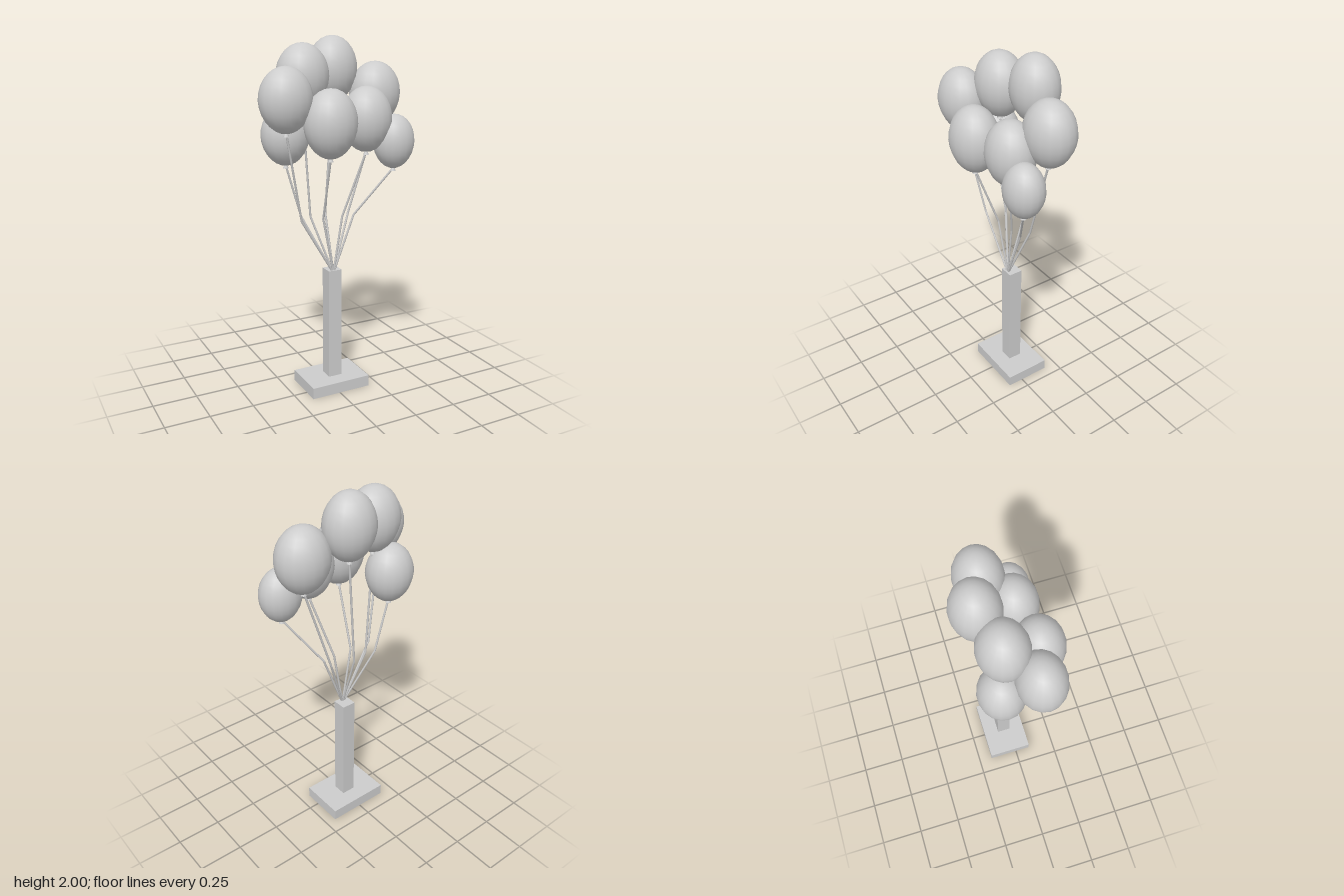
import * as THREE from 'three';

// centre x, y, z, then radii x, y, z, then x and z of the bend in the string
const BALLOONS = [
  [-0.30, 1.685, 0.064, 0.143, 0.17, 0.123, -0.19, 0.0],
  [-0.145, 1.79, -0.07, 0.145, 0.175, 0.129, -0.10, -0.08],
  [0.064, 1.822, -0.136, 0.141, 0.178, 0.127, 0.01, -0.115],
  [0.29, 1.688, -0.062, 0.147, 0.175, 0.129, 0.135, -0.075],
  [0.162, 1.567, 0.075, 0.142, 0.176, 0.128, 0.06, -0.005],
  [-0.08, 1.56, 0.13, 0.145, 0.182, 0.129, -0.06, 0.0],
  [0.317, 1.442, 0.104, 0.118, 0.148, 0.104, 0.135, -0.01],
  [-0.232, 1.482, -0.106, 0.134, 0.162, 0.122, -0.145, -0.105],
];

export function createModel() {
  const model = new THREE.Group();
  const grey = new THREE.MeshStandardMaterial({ color: 0xcccccc });
  grey.name = 'light grey';

  const add = (name, geometry, parent = model) => {
    const mesh = new THREE.Mesh(geometry, grey);
    mesh.name = name;
    parent.add(mesh);
    return mesh;
  };

  // Thin rod between two points
  const rod = (name, a, b, parent) => {
    const dir = b.clone().sub(a);
    const mesh = add(name, new THREE.CylinderGeometry(0.006, 0.006, dir.length(), 6), parent);
    mesh.position.copy(a).add(b).multiplyScalar(0.5);
    mesh.quaternion.setFromUnitVectors(new THREE.Vector3(0, 1, 0), dir.normalize());
  };

  // Stand: flat plinth and square post
  add('basePlate', new THREE.BoxGeometry(0.36, 0.065, 0.26)).position.set(0.01, 0.0325, -0.04);
  add('post', new THREE.BoxGeometry(0.08, 0.65, 0.08)).position.set(0.015, 0.39, -0.04);

  // Unit balloon, drawn in slightly towards the knot
  const skin = new THREE.SphereGeometry(1, 18, 14);
  const p = skin.attributes.position;
  for (let i = 0; i < p.count; i++) {
    const y = p.getY(i);
    const s = y < 0 ? 1 + 0.05 * y : 1;
    p.setXYZ(i, p.getX(i) * s, y, p.getZ(i) * s);
  }
  const knotShape = new THREE.CylinderGeometry(0.006, 0.016, 0.022, 8);

  BALLOONS.forEach(([x, y, z, rx, ry, rz, bx, bz]) => {
    const balloon = new THREE.Group();
    balloon.name = 'balloon';
    model.add(balloon);

    const body = add('balloonSkin', skin, balloon);
    body.position.set(x, y, z);
    body.scale.set(rx, ry, rz);
    add('knot', knotShape, balloon).position.set(x, y - ry - 0.004, z);

    // String bends once on its way up from the post
    const foot = new THREE.Vector3(0.01 + bx * 0.04, 0.71, -0.015 + bz * 0.04);
    const bend = new THREE.Vector3(bx, 1.025, bz);
    rod('lowerString', foot, bend, balloon);
    rod('upperString', bend, new THREE.Vector3(x, y - ry, z), balloon);
  });
  return model;
}
